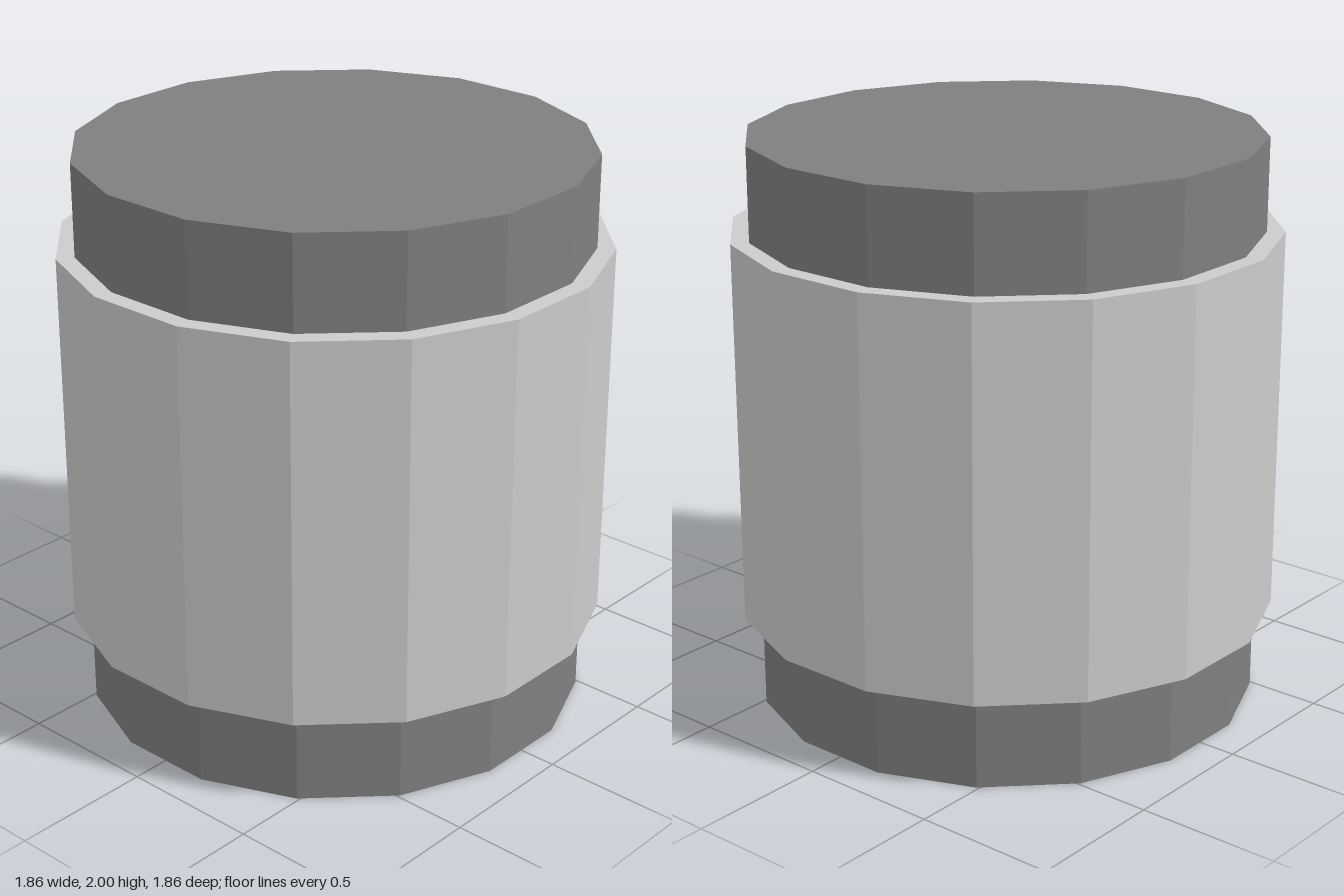
import * as THREE from 'three';

const SIDES = 16;

// Upright faceted drum with flat sides facing the x and z axes
function drum(name, radius, bottom, top, color) {
  const geometry = new THREE.CylinderGeometry(radius, radius, top - bottom, SIDES);
  geometry.rotateY(Math.PI / SIDES);
  geometry.translate(0, (bottom + top) / 2, 0);
  const material = new THREE.MeshStandardMaterial({ color, flatShading: true });
  const mesh = new THREE.Mesh(geometry, material);
  mesh.name = name;
  return mesh;
}

export function createModel() {
  const model = new THREE.Group();
  model.name = 'bandedCylinder';
  // Dark core, exposed at both ends
  model.add(drum('core', 0.883, 0, 2, 0x7f7f7f));
  // Wider light sleeve around the middle
  model.add(drum('sleeve', 0.946, 0.325, 1.675, 0xcccccc));
  return model;
}
